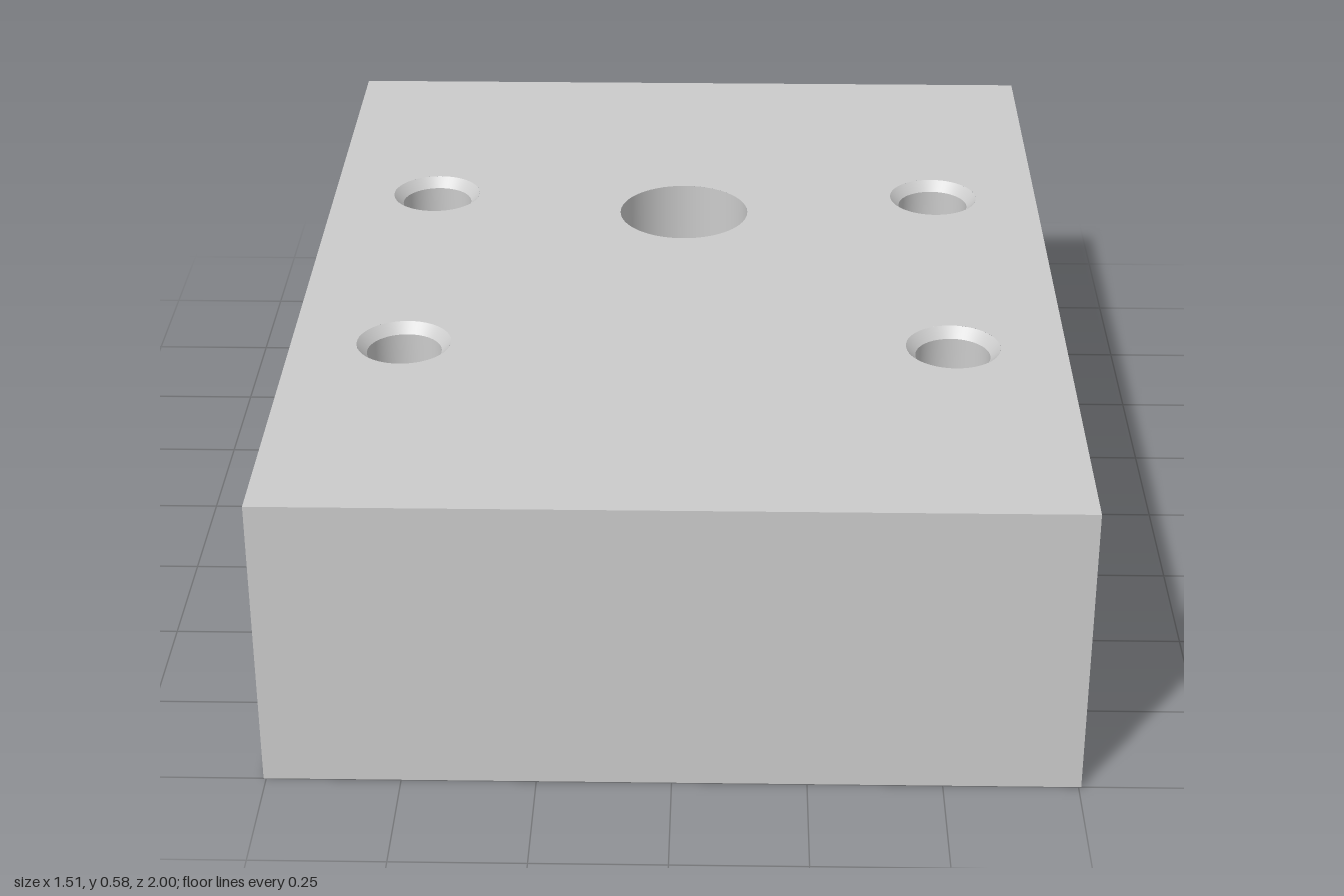
import * as THREE from 'three';

const W = 1.51, H = 0.58, D = 2;
const BORE = { x: 0, z: -0.27, r: 0.135 };
const SCREW = { r: 0.073, rim: 0.092, chamfer: 0.02, depth: 0.32, tip: 0.044 };
const SCREW_SPOTS = [[-0.535, -0.355], [0.535, -0.355], [-0.535, 0.355], [0.535, 0.355]];
const SEGMENTS = 64;

export function createModel() {
  const group = new THREE.Group();
  const material = new THREE.MeshStandardMaterial({ color: 0xcccccc });

  const add = (name, geometry, x = 0, y = 0, z = 0) => {
    const mesh = new THREE.Mesh(geometry, material);
    mesh.name = name;
    mesh.position.set(x, y, z);
    group.add(mesh);
    return mesh;
  };

  // Flat rectangle pierced by round holes; zSign maps z to the shape's y
  const plate = (holes, zSign) => {
    const shape = new THREE.Shape([
      new THREE.Vector2(-W / 2, -D / 2), new THREE.Vector2(W / 2, -D / 2),
      new THREE.Vector2(W / 2, D / 2), new THREE.Vector2(-W / 2, D / 2),
    ]);
    for (const [x, z, r] of holes) {
      shape.holes.push(new THREE.Path().absarc(x, z * zSign, r, 0, Math.PI * 2, true));
    }
    return new THREE.ShapeGeometry(shape, SEGMENTS).rotateX(-zSign * -Math.PI / 2);
  };

  // Inward-facing band from (r1, y1) down to (r2, y2)
  const band = (r1, y1, r2, y2) => new THREE.LatheGeometry(
    [new THREE.Vector2(r1, y1), new THREE.Vector2(r2, y2)], SEGMENTS);

  // Top and bottom faces
  const boreHole = [BORE.x, BORE.z, BORE.r];
  const screwHoles = SCREW_SPOTS.map(([x, z]) => [x, z, SCREW.rim]);
  add('topFace', plate([boreHole, ...screwHoles], -1), 0, H, 0);
  add('bottomFace', plate([boreHole], 1));

  // Four outer walls
  ['frontWall', 'leftWall', 'backWall', 'rightWall'].forEach((name, i) => {
    const [width, offset] = i % 2 ? [D, W / 2] : [W, D / 2];
    const wall = new THREE.PlaneGeometry(width, H).translate(0, H / 2, offset);
    add(name, wall.rotateY(i * Math.PI / 2));
  });

  // Through bore
  add('throughBore', band(BORE.r, H, BORE.r, 0), BORE.x, 0, BORE.z);

  // Chamfered blind holes with drill-point bottoms
  for (const [x, z] of SCREW_SPOTS) {
    const { r, rim, chamfer, depth, tip } = SCREW;
    add('screwHoleChamfer', band(rim, 0, r, -chamfer), x, H, z);
    add('screwHoleWall', band(r, -chamfer, r, -depth), x, H, z);
    add('screwHoleTip', band(r, -depth, 0, -depth - tip), x, H, z);
  }
  return group;
}
